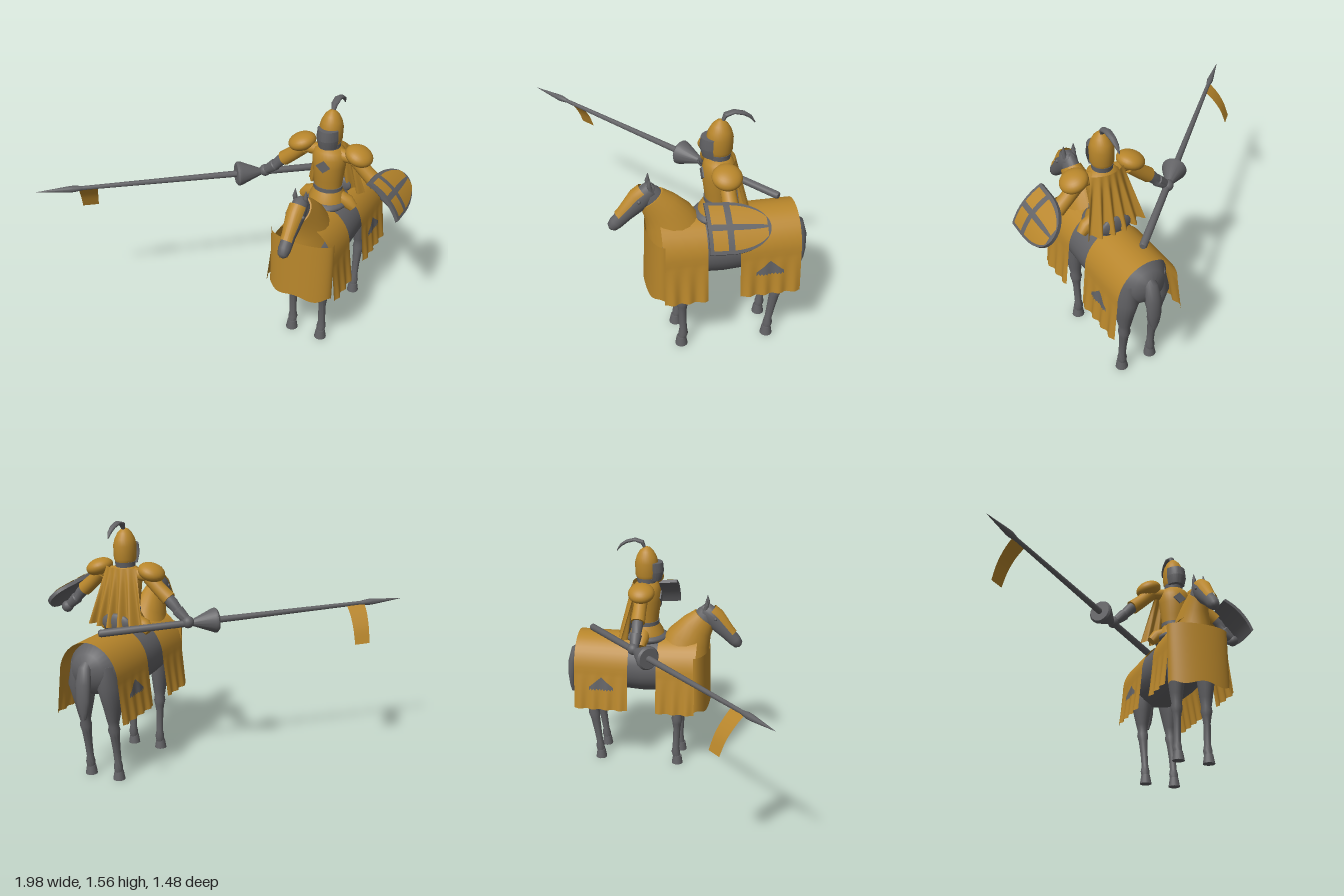
import * as THREE from 'three';
import { toCreasedNormals } from 'three/addons/utils/BufferGeometryUtils.js';

const V = (x, y, z) => new THREE.Vector3(x, y, z);
const X = V(1, 0, 0), Y = V(0, 1, 0), Z = V(0, 0, 1);
const CX = 0.475; // centre line of horse and rider
const { lerp, clamp } = THREE.MathUtils;

export function createModel() {
  const root = new THREE.Group();
  const mat = (name, color, side) => Object.assign(new THREE.MeshStandardMaterial({ color, side }), { name });
  const gold = mat('gold', 0xb8862b, THREE.DoubleSide);
  const steel = mat('steel grey', 0x626265, THREE.DoubleSide);

  const add = (name, geo, material, x = 0, y = 0, z = 0, parent = root) => {
    const m = new THREE.Mesh(geo, material);
    m.name = name;
    m.position.set(x, y, z);
    parent.add(m);
    return m;
  };

  // Elliptical rings along a path: each row is [x, y, z, side radius, other radius]
  const loft = (rows, ref = X, arc = null, n = 20) => {
    const pts = rows.map(r => V(r[0], r[1], r[2])), pos = [], idx = [];
    const [a0, a1] = arc || [0, Math.PI * 2], w = arc ? n + 1 : n;
    rows.forEach((r, i) => {
      const t = pts[Math.min(i + 1, pts.length - 1)].clone().sub(pts[Math.max(i - 1, 0)]).normalize();
      const s = ref.clone().addScaledVector(t, -ref.dot(t)).normalize();
      const u = t.clone().cross(s);
      for (let j = 0; j < w; j++) {
        const a = lerp(a0, a1, j / n);
        const p = pts[i].clone().addScaledVector(s, r[3] * Math.cos(a)).addScaledVector(u, (r[4] ?? r[3]) * Math.sin(a));
        pos.push(p.x, p.y, p.z);
      }
    });
    for (let i = 0; i < rows.length - 1; i++) for (let j = 0; j < n; j++) {
      const a = i * w + j, b = i * w + (j + 1) % w;
      idx.push(a, b, a + w, b, b + w, a + w);
    }
    if (!arc) {
      const c = rows.length * n, e = c - n;
      pos.push(...pts[0].toArray(), ...pts[pts.length - 1].toArray());
      for (let j = 0; j < n; j++) {
        const k = (j + 1) % n;
        idx.push(c, k, j, c + 1, e + j, e + k);
      }
    }
    const g = new THREE.BufferGeometry();
    g.setAttribute('position', new THREE.Float32BufferAttribute(pos, 3));
    g.setIndex(idx);
    return toCreasedNormals(g, 0.8);
  };

  // Sheet whose points follow fn(u, v), both 0..1
  const sheet = (fn, nu, nv) => {
    const g = new THREE.PlaneGeometry(1, 1, nu, nv), p = g.attributes.position, uv = g.attributes.uv;
    for (let i = 0; i < p.count; i++) p.setXYZ(i, ...fn(uv.getX(i), uv.getY(i)));
    g.computeVertexNormals();
    return g;
  };

  // Horse body, tail and neck
  add('horseBody', loft([
    [CX, 0.74, -0.69, 0.02, 0.03], [CX, 0.74, -0.66, 0.1, 0.1], [CX, 0.73, -0.58, 0.165, 0.155],
    [CX, 0.71, -0.45, 0.185, 0.185], [CX, 0.7, -0.2, 0.185, 0.19], [CX, 0.71, 0, 0.185, 0.185],
    [CX, 0.72, 0.12, 0.16, 0.165], [CX, 0.74, 0.18, 0.1, 0.11], [CX, 0.75, 0.21, 0.02, 0.02]], X, null, 28), steel);
  add('tail', loft([
    [CX, 0.8, -0.64, 0.025, 0.02], [CX, 0.76, -0.68, 0.04, 0.03], [CX, 0.67, -0.7, 0.048, 0.035],
    [CX, 0.57, -0.71, 0.045, 0.027], [CX, 0.5, -0.71, 0.032, 0.02], [CX, 0.45, -0.708, 0.012, 0.012]]), steel);
  add('neckCloth', loft([
    [CX, 0.78, 0.06, 0.14, 0.18], [CX, 0.9, 0.1, 0.105, 0.145], [CX, 0.98, 0.15, 0.08, 0.11], [CX, 1.04, 0.198, 0.058, 0.083]]), gold);
  add('neckTop', loft([[CX, 1.02, 0.185, 0.052, 0.075], [CX, 1.08, 0.215, 0.045, 0.065], [CX, 1.125, 0.225, 0.025, 0.03]]), steel);

  // Horse head, face plate and ears
  const face = [[CX, 1.1, 0.2, 0.045, 0.05], [CX, 1.04, 0.26, 0.052, 0.068], [CX, 0.95, 0.345, 0.037, 0.047],
    [CX, 0.895, 0.402, 0.037, 0.042], [CX, 0.868, 0.426, 0.03, 0.032]];
  add('horseHead', loft([[CX, 1.115, 0.18, 0.02, 0.025], ...face, [CX, 0.858, 0.436, 0.012, 0.012]]), steel);
  add('facePlate', loft([[CX, 1.075, 0.222, 0.058, 0.072], [CX, 1.04, 0.26, 0.058, 0.078], [CX, 0.95, 0.345, 0.043, 0.057],
    [CX, 0.925, 0.37, 0.043, 0.054]], X, [0.5, Math.PI - 0.5]), gold);
  for (const s of [-1, 1]) {
    add('ear', loft([[CX + s * 0.03, 1.1, 0.205, 0.014], [CX + s * 0.033, 1.14, 0.215, 0.014], [CX + s * 0.033, 1.185, 0.212, 0.002]], X, null, 8), steel);
    add('eye', new THREE.SphereGeometry(0.011, 10, 8), steel, CX + s * 0.049, 1.05, 0.275);
  }

  // Four legs with hooves
  for (const s of [-1, 1]) {
    const x = CX + s * 0.1;
    add('frontLeg', loft([
      [x, 0.72, 0.06, 0.065, 0.1], [x, 0.55, 0.045, 0.055, 0.075], [x, 0.42, 0.038, 0.04, 0.048], [x, 0.365, 0.036, 0.032, 0.034],
      [x, 0.335, 0.035, 0.037, 0.038], [x, 0.305, 0.034, 0.03, 0.03], [x, 0.26, 0.034, 0.023, 0.024], [x, 0.12, 0.028, 0.022, 0.023],
      [x, 0.085, 0.027, 0.029, 0.029], [x, 0.045, 0.035, 0.024, 0.025]]), steel);
    add('hindLeg', loft([
      [x - s * 0.01, 0.76, -0.55, 0.06, 0.1], [x, 0.63, -0.555, 0.075, 0.105], [x, 0.5, -0.545, 0.055, 0.07], [x, 0.41, -0.545, 0.038, 0.045],
      [x, 0.37, -0.542, 0.031, 0.034], [x, 0.34, -0.54, 0.037, 0.038], [x, 0.3, -0.533, 0.029, 0.031], [x, 0.2, -0.518, 0.023, 0.025],
      [x, 0.12, -0.507, 0.022, 0.022], [x, 0.085, -0.505, 0.029, 0.029], [x, 0.045, -0.5, 0.024, 0.025]]), steel);
    for (const z of [0.038, -0.498]) add('hoof', new THREE.CylinderGeometry(0.028, 0.038, 0.058, 16), steel, x, 0.029, z);
  }

  // Horse cloths hanging over the back, flared and rippled at the hem
  const drape = (z, y) => {
    const k = (0.68 - y) / 0.25;
    return 0.2 + 0.035 * k + 0.008 * Math.max(k, 0) * Math.sin(z * 70);
  };
  const cloth = (z0, z1, lift) => sheet((u, v) => {
    const z = lerp(z0, z1, u), side = v < 0.5 ? -1 : 1, q = Math.abs(v - 0.5) * 2;
    if (q <= 0.5) {
      const a = q * Math.PI;
      return [CX + side * 0.2 * Math.sin(a), 0.68 + (0.225 + lift * u) * Math.cos(a), z];
    }
    const y = 0.68 - 0.5 * (q - 0.5);
    return [CX + side * drape(z, y), y, z];
  }, 36, 40);
  add('rearCloth', cloth(-0.645, -0.285, 0), gold);
  add('frontCloth', cloth(-0.095, 0.163, 0.015), gold);
  add('chestCloth', sheet((u, v) => {
    const a = (u - 0.5) * Math.PI;
    const hem = 0.435 + 0.012 * Math.cos(a * 5), y = lerp(hem, 0.83, v);
    return [CX + 0.203 * Math.sin(a), y, 0.153 + (0.093 - 0.01 * v) * Math.cos(a)];
  }, 32, 6), gold);

  // Notched badge on both sides of the rear cloth
  for (const s of [-1, 1]) add('clothBadge', sheet((u, v) => {
    const top = 0.585 + 0.07 * (1 - Math.abs(2 * u - 1)), low = 0.562 + 0.012 * (Math.round(u * 16) % 2);
    const z = -0.46 + 0.082 * (2 * u - 1), y = lerp(low, top, v);
    return [CX + s * (drape(z, y) + 0.005), y, z];
  }, 16, 4), steel);

  // Saddle
  add('saddle', new THREE.SphereGeometry(1, 24, 14), steel, CX, 0.895, -0.19).scale.set(0.13, 0.045, 0.15);
  add('cantle', new THREE.SphereGeometry(1, 20, 12), steel, CX, 0.94, -0.315).scale.set(0.1, 0.06, 0.025);

  // Rider's body
  const rz = -0.185;
  const tower = rows => loft(rows.map(([y, a, b]) => [CX, y, rz, a, b]), X, null, 28);
  add('breastplate', tower([[0.99, 0.083, 0.073], [1.06, 0.09, 0.082], [1.15, 0.1, 0.095], [1.21, 0.105, 0.092], [1.25, 0.092, 0.08], [1.275, 0.055, 0.055]]), gold);
  add('shoulderYoke', loft([[CX - 0.17, 1.215, rz, 0.03], [CX, 1.235, rz, 0.045], [CX + 0.17, 1.215, rz, 0.03]], Z), gold);
  add('neckGuard', tower([[1.26, 0.06, 0.06], [1.3, 0.062, 0.066]]), steel);
  add('belt', tower([[0.985, 0.09, 0.081], [1.01, 0.09, 0.081]]), steel);
  add('skirtPlates', tower([[0.9, 0.115, 0.12], [0.94, 0.108, 0.108], [0.99, 0.085, 0.077]]), gold);
  const badge = new THREE.Shape([[0, 0.045], [0.045, 0.005], [0, -0.035], [-0.045, 0.005]].map(p => new THREE.Vector2(...p)));
  add('chestBadge', new THREE.ExtrudeGeometry(badge, { depth: 0.008, bevelEnabled: false }), steel, CX, 1.165, rz + 0.091);
  for (const s of [-1, 1]) {
    add('thigh', loft([[CX + s * 0.06, 0.94, -0.19, 0.04], [CX + s * 0.13, 0.91, -0.195, 0.042], [CX + s * 0.165, 0.875, -0.2, 0.03]], Z), gold);
  }

  // Helmet, visor and plume
  const profile = pts => pts.map(p => new THREE.Vector2(...p));
  add('helmet', new THREE.LatheGeometry(profile([[0.055, 1.29], [0.068, 1.32], [0.07, 1.4], [0.06, 1.44], [0.042, 1.475], [0.02, 1.498], [0, 1.505]]), 28), gold, CX, 0, rz).scale.z = 1.08;
  add('visor', toCreasedNormals(new THREE.LatheGeometry(profile([[0.045, 1.285], [0.064, 1.287], [0.076, 1.345], [0.071, 1.405], [0.045, 1.405]]), 20, -1.15, 2.3), 0.3), steel, CX, 0, -0.175).scale.z = 1.35;
  add('plume', loft([[CX, 1.49, -0.195, 0.01, 0.008], [CX, 1.53, -0.212, 0.021, 0.014], [CX, 1.545, -0.26, 0.022, 0.011],
    [CX, 1.53, -0.315, 0.019, 0.011], [CX, 1.505, -0.352, 0.014, 0.009], [CX, 1.468, -0.378, 0.003, 0.003]]), steel);

  // Pleated cape
  add('cape', sheet((u, v) => {
    const w = 2 * u - 1, d = 1 - v;
    return [CX + w * (0.105 + 0.085 * d), 1.27 - 0.355 * d, -0.275 - 0.065 * d + 0.04 * w * w + 0.028 * d * Math.cos(w * Math.PI * 5)];
  }, 50, 8), gold);

  // Arms
  for (const s of [-1, 1]) {
    const at = (x, y, r) => [CX + s * x, y, -0.19, r];
    const p = add('shoulderPlate', new THREE.SphereGeometry(1, 28, 16), gold, CX + s * 0.182, 1.248, -0.188);
    p.scale.set(0.085, 0.053, 0.085);
    p.rotation.z = -s * 0.35;
    add('upperArm', loft([at(0.17, 1.215, 0.045), at(0.23, 1.155, 0.043), at(0.3, 1.095, 0.046)], Z), gold);
    add('forearm', loft([at(0.285, 1.108, 0.034), at(0.32, 1.075, 0.036), at(0.355, 1.035, 0.031), at(0.36, 1.03, 0.037), at(0.415, 0.98, 0.028)], Z), steel);
    add('hand', new THREE.SphereGeometry(0.037, 18, 12), steel, CX + s * 0.43, 0.967, -0.195);
  }

  // Curved shield: v runs back from the straight edge, a across, n outward
  const axis = V(0, -0.09, -1).normalize(), across = V(0.7, -0.71, 0).normalize(), out = V(0.71, 0.7, 0).normalize();
  const half = v => 0.14 * Math.sqrt(Math.max(0, 1 - (Math.max(0, v - 0.11) / 0.235) ** 2));
  const onShield = (v, a, n) => V(0.885, 1.092, -0.032).addScaledVector(axis, v).addScaledVector(across, a)
    .addScaledVector(out, n - 0.005 + 0.03 * (1 - (a / 0.14) ** 2)).toArray();
  const panel = (v0, v1, w0, w1, n) => sheet((u, t) => {
    const v = lerp(v0, v1, Math.sin(u * Math.PI / 2)), w = lerp(w0, w1, t);
    return onShield(v, half(v) * w, n);
  }, 24, 14);
  add('shieldFront', panel(0, 0.345, -1, 1, 0), steel);
  add('shieldBack', panel(0, 0.345, -1, 1, -0.022), steel);
  add('shieldEdge', sheet((u, t) => {
    const w = clamp(u * 4 - 2, -2, 2), n = -0.022 * t;
    if (Math.abs(w) < 1) return onShield(0, 0.14 * w, n);
    const v = 0.345 * Math.sin((Math.abs(w) - 1) * Math.PI / 2);
    return onShield(v, Math.sign(w) * half(v), n);
  }, 96, 1), steel);
  for (const s of [-1, 1]) for (const [v0, v1] of [[0.02, 0.1], [0.135, 0.325]])
    add('shieldPanel', panel(v0, v1, s * 0.12, s * 0.87, 0.004), gold);

  // Lance with hand guard and pennant
  const butt = V(0.45, 0.94, -0.555), tip = V(-1, 1.012, 0.74);
  const on = (t, r) => [...butt.clone().lerp(tip, t).toArray(), r];
  add('lanceShaft', loft([on(0, 0.017), on(0.006, 0.023), on(0.3, 0.021), on(0.37, 0.02), on(0.89, 0.012)], Y, null, 14), steel);
  add('lanceTip', loft([on(0.86, 0.013), on(0.885, 0.02), on(0.9, 0.019), on(1, 0.001)], Y, null, 14), steel);
  add('handGuard', loft([on(0.295, 0.022), on(0.36, 0.074), on(0.368, 0.076), on(0.374, 0.065)], Y, null, 28), steel);
  const drop = new THREE.CatmullRomCurve3([V(0, 0, 0), V(-0.04, -0.055, -0.04), V(-0.075, -0.13, -0.08), V(-0.1, -0.222, -0.108)]);
  add('pennant', sheet((u, v) => {
    const d = drop.getPoint(1 - v), p = butt.clone().lerp(tip, lerp(0.81, 0.872 - 0.012 * (1 - v), u));
    return p.add(d).toArray();
  }, 4, 14), gold);

  return root;
}
